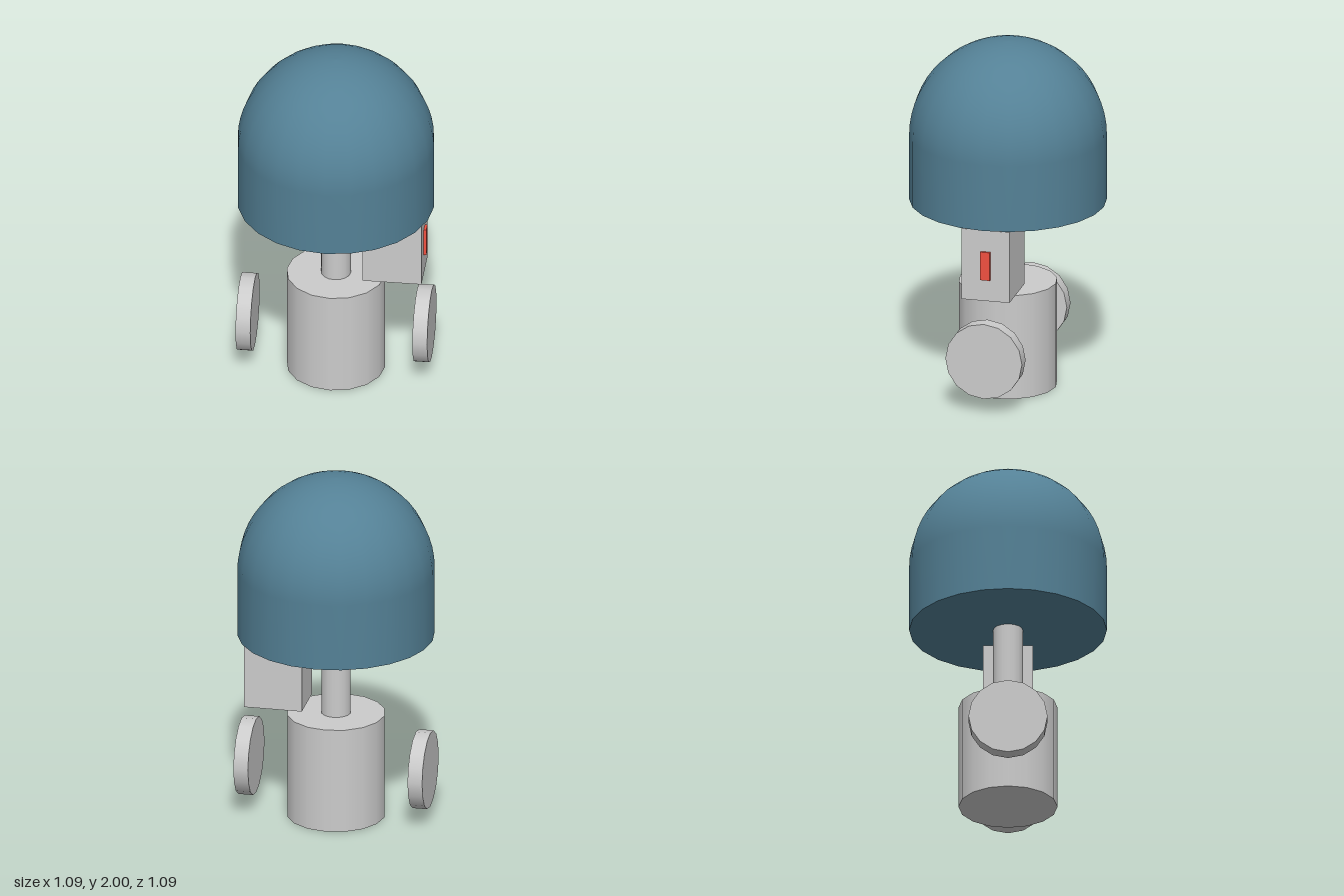
import * as THREE from 'three';

export function createModel() {
  const model = new THREE.Group();
  const grey = new THREE.MeshStandardMaterial({ color: 0xcccccc });
  const blue = new THREE.MeshStandardMaterial({ color: 0x548196 });
  const red = new THREE.MeshStandardMaterial({ color: 0xf25040 });

  const add = (name, geometry, material, x, y, z, parent = model) => {
    const mesh = new THREE.Mesh(geometry, material);
    mesh.name = name;
    mesh.position.set(x, y, z);
    parent.add(mesh);
    return mesh;
  };

  // Base drum and the post rising from it
  add('base', new THREE.CylinderGeometry(0.273, 0.273, 0.604, 16), grey, 0, 0.302, 0);
  add('post', new THREE.CylinderGeometry(0.082, 0.082, 0.471, 16), grey, 0, 0.8395, 0);

  // Side discs, one floating on each side of the base
  for (const [side, name] of [[1, 'leftDisc'], [-1, 'rightDisc']]) {
    const disc = add(name, new THREE.CylinderGeometry(0.218, 0.218, 0.082, 16), grey, side * 0.491, 0.305, 0);
    disc.rotation.z = Math.PI / 2;
  }

  // Control box beside the post, with a red button on its outer face
  const control = new THREE.Group();
  control.name = 'controlBox';
  control.position.set(0.327, 0.852, 0);
  model.add(control);
  add('boxBody', new THREE.BoxGeometry(0.327, 0.412, 0.273), grey, 0, 0, 0, control);
  add('button', new THREE.BoxGeometry(0.027, 0.164, 0.055), red, 0.164, 0, 0, control);

  // Domed top: straight skirt running smoothly into a hemisphere
  const radius = 0.545, bottom = 1.074, shoulder = 2 - radius, rings = 14;
  const profile = [new THREE.Vector2(radius, bottom)];
  for (let i = 0; i <= rings; i++) {
    const a = (i / rings) * Math.PI / 2;
    profile.push(new THREE.Vector2(i === rings ? 0 : radius * Math.cos(a), shoulder + radius * Math.sin(a)));
  }
  add('dome', new THREE.LatheGeometry(profile, 24), blue, 0, 0, 0);
  const underside = add('domeUnderside', new THREE.CircleGeometry(radius, 24), blue, 0, bottom, 0);
  underside.rotation.x = Math.PI / 2;

  return model;
}
